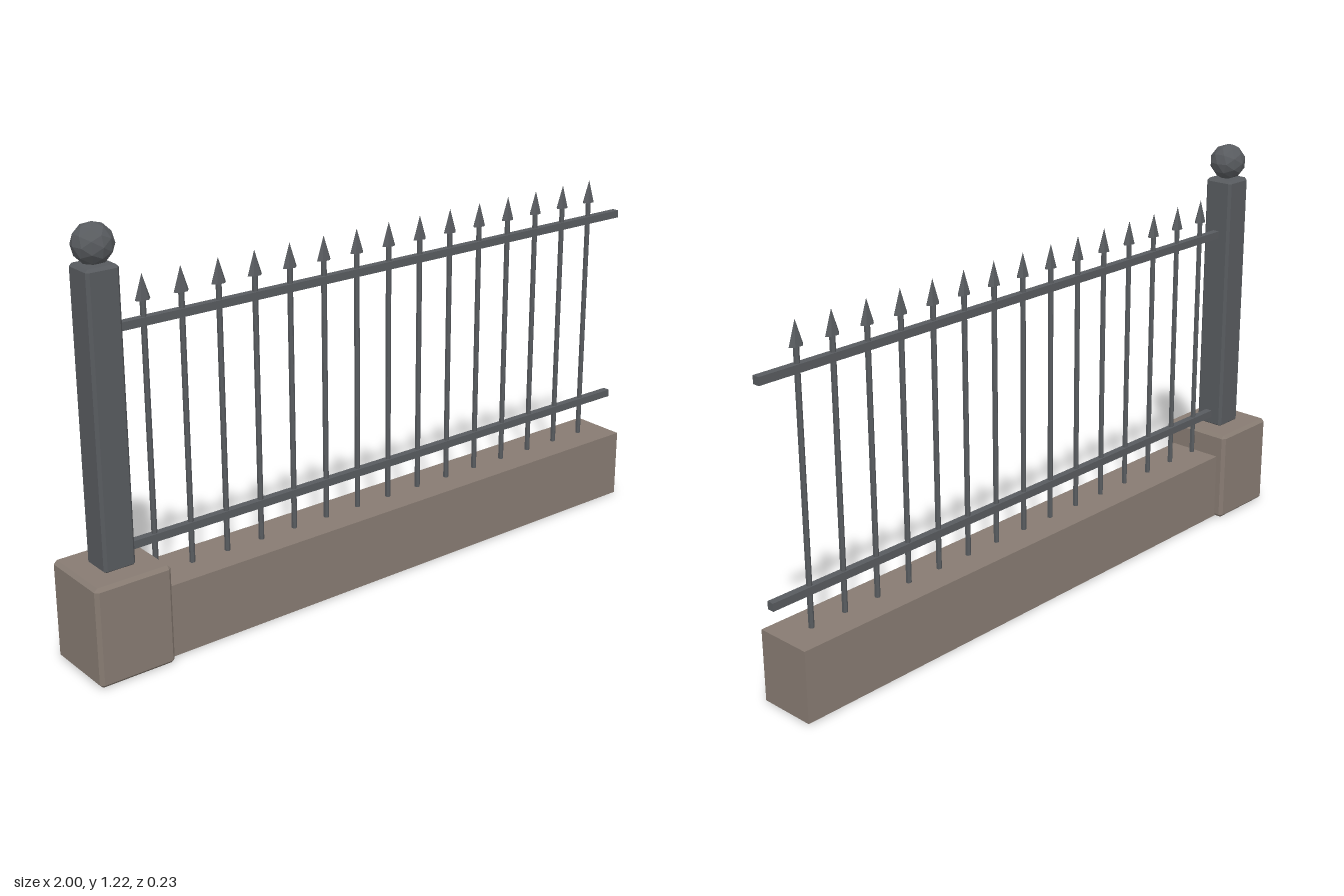
import * as THREE from 'three';
import { ConvexGeometry } from 'three/addons/geometries/ConvexGeometry.js';

// Box with flat chamfers on every edge
function chamferBox(w, h, d, c) {
  const points = [];
  const half = [w / 2, h / 2, d / 2];
  for (const sx of [-1, 1]) for (const sy of [-1, 1]) for (const sz of [-1, 1]) {
    for (let full = 0; full < 3; full++) {
      const e = half.map((v, i) => (i === full ? v : v - c));
      points.push(new THREE.Vector3(sx * e[0], sy * e[1], sz * e[2]));
    }
  }
  return new ConvexGeometry(points);
}

export function createModel() {
  const group = new THREE.Group();
  const stone = new THREE.MeshStandardMaterial({ color: 0x877b72, flatShading: true });
  stone.name = 'stone';
  const iron = new THREE.MeshStandardMaterial({ color: 0x585b5f, flatShading: true });
  iron.name = 'iron';

  const add = (name, geometry, material, x, y, z = 0, parent = group) => {
    const mesh = new THREE.Mesh(geometry, material);
    mesh.name = name;
    mesh.position.set(x, y, z);
    parent.add(mesh);
    return mesh;
  };

  // Stone footing and low wall
  add('postFooting', chamferBox(0.23, 0.29, 0.23, 0.01), stone, -0.885, 0.145);
  add('lowWall', new THREE.BoxGeometry(1.77, 0.212, 0.174), stone, 0.083, 0.108);

  // Iron post with ball finial
  const postX = -0.885;
  add('post', chamferBox(0.095, 0.825, 0.095, 0.008), iron, postX, 0.6975);
  add('ballFinial', new THREE.IcosahedronGeometry(0.056, 1), iron, postX, 1.161);

  // Horizontal rails
  for (const [name, y] of [['lowerRail', 0.325], ['upperRail', 0.934]]) {
    add(name, new THREE.BoxGeometry(1.85, 0.023, 0.022), iron, 0.075, y);
  }

  // Evenly spaced pickets with flattened spear tips
  const barGeometry = new THREE.CylinderGeometry(0.008, 0.008, 0.8, 6);
  const tipGeometry = new THREE.ConeGeometry(0.021, 0.07, 6);
  tipGeometry.rotateY(Math.PI / 2).scale(1.1, 1, 0.65);
  const count = 15;
  for (let i = 0; i < count; i++) {
    const picket = new THREE.Group();
    picket.name = 'picket';
    picket.position.x = -0.751 + (i * 1.623) / (count - 1);
    add('picketBar', barGeometry, iron, 0, 0.6, 0, picket);
    add('spearTip', tipGeometry, iron, 0, 1.025, 0, picket);
    group.add(picket);
  }
  return group;
}
